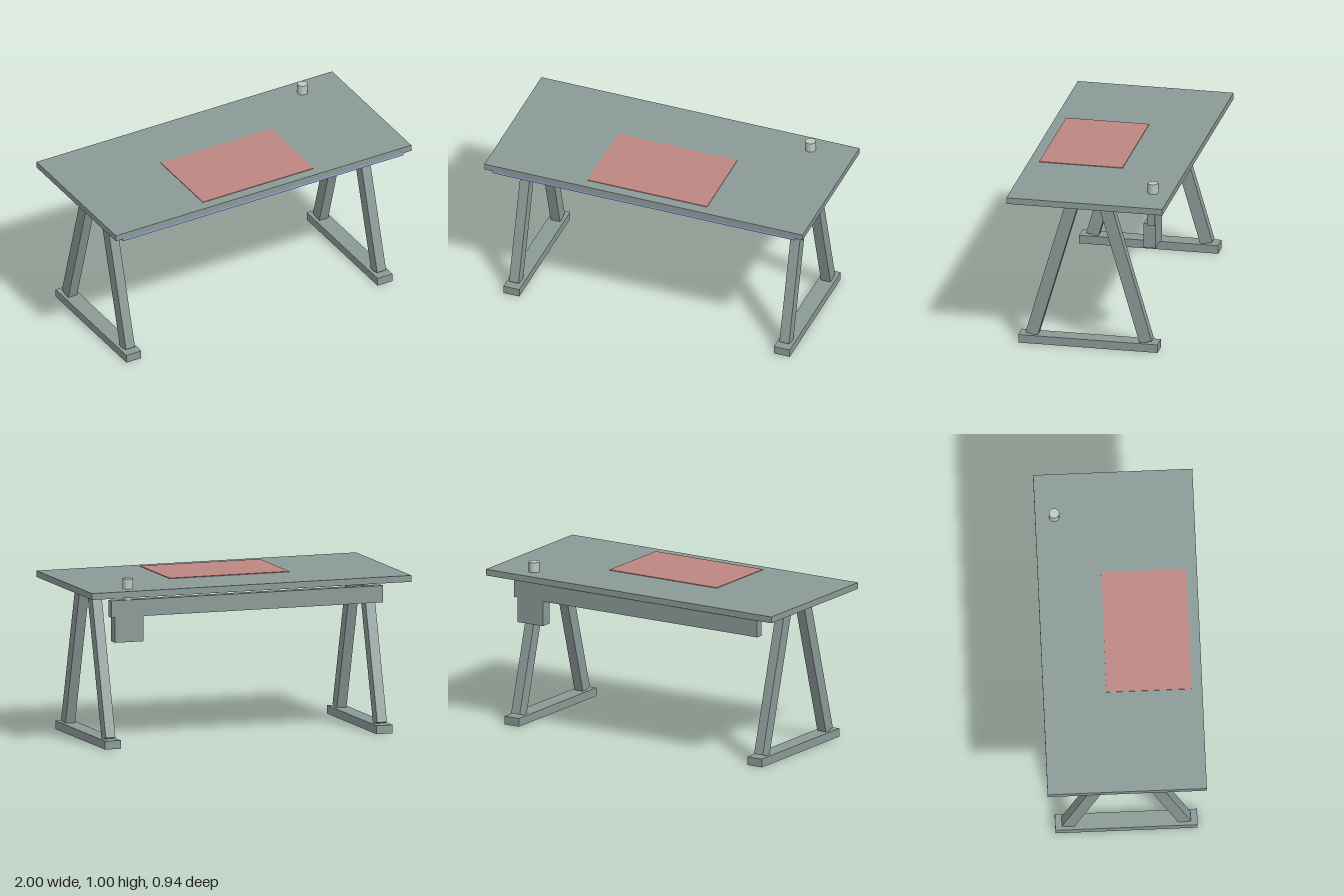
import * as THREE from 'three';

const material = (name, color) => {
  const m = new THREE.MeshStandardMaterial({ color });
  m.name = name;
  return m;
};

export function createModel() {
  const desk = new THREE.Group();
  desk.name = 'desk';
  const grey = material('grey green', 0x8b9a97);
  const red = material('dusty red', 0xbc8682);
  const blue = material('soft blue', 0x8ea4d8);
  const pale = material('pale grey', 0xbcc8c0);

  // Box given by its lower and upper limits on each axis
  const box = (name, mat, [x0, x1], [y0, y1], [z0, z1], parent = desk) => {
    const mesh = new THREE.Mesh(new THREE.BoxGeometry(x1 - x0, y1 - y0, z1 - z0), mat);
    mesh.position.set((x0 + x1) / 2, (y0 + y1) / 2, (z0 + z1) / 2);
    mesh.name = name;
    parent.add(mesh);
    return mesh;
  };

  // Top, desk mat and light strip under the front edge
  box('tableTop', grey, [-1, 1], [0.902, 0.94], [-0.468, 0.468]);
  box('deskMat', red, [-0.375, 0.375], [0.94, 0.944], [-0.095, 0.405]);
  box('lightStrip', blue, [-0.95, 0.95], [0.884, 0.902], [0.435, 0.463]);

  // Cable tray and power box at the back
  box('cableTray', grey, [-0.85, 0.85], [0.777, 0.877], [-0.392, -0.345]);
  box('powerBox', grey, [0.65, 0.827], [0.627, 0.777], [-0.392, -0.319]);

  // Round post through the top
  const post = new THREE.Mesh(new THREE.CylinderGeometry(0.031, 0.031, 0.2, 24), pale);
  post.position.set(0.735, 0.9, -0.356);
  post.name = 'post';
  desk.add(post);

  // A-frame trestles: foot bar and two leaning legs on each side
  const bottom = { y: 0.052, z: 0.343 }, top = { y: 0.8985, z: 0.097 };
  const dy = top.y - bottom.y, dz = top.z - bottom.z;
  for (const side of [-1, 1]) {
    const trestle = new THREE.Group();
    trestle.name = side > 0 ? 'leftTrestle' : 'rightTrestle';
    trestle.position.x = side * 0.85;
    box('foot', grey, [-0.05, 0.05], [0, 0.05], [-0.418, 0.418], trestle);
    for (const end of [-1, 1]) {
      const leg = new THREE.Mesh(new THREE.BoxGeometry(0.06, Math.hypot(dy, dz), 0.075), grey);
      leg.position.set(0, (top.y + bottom.y) / 2, end * (top.z + bottom.z) / 2);
      leg.rotation.x = end * Math.atan2(dz, dy);
      leg.name = end > 0 ? 'frontLeg' : 'backLeg';
      trestle.add(leg);
    }
    desk.add(trestle);
  }
  return desk;
}
